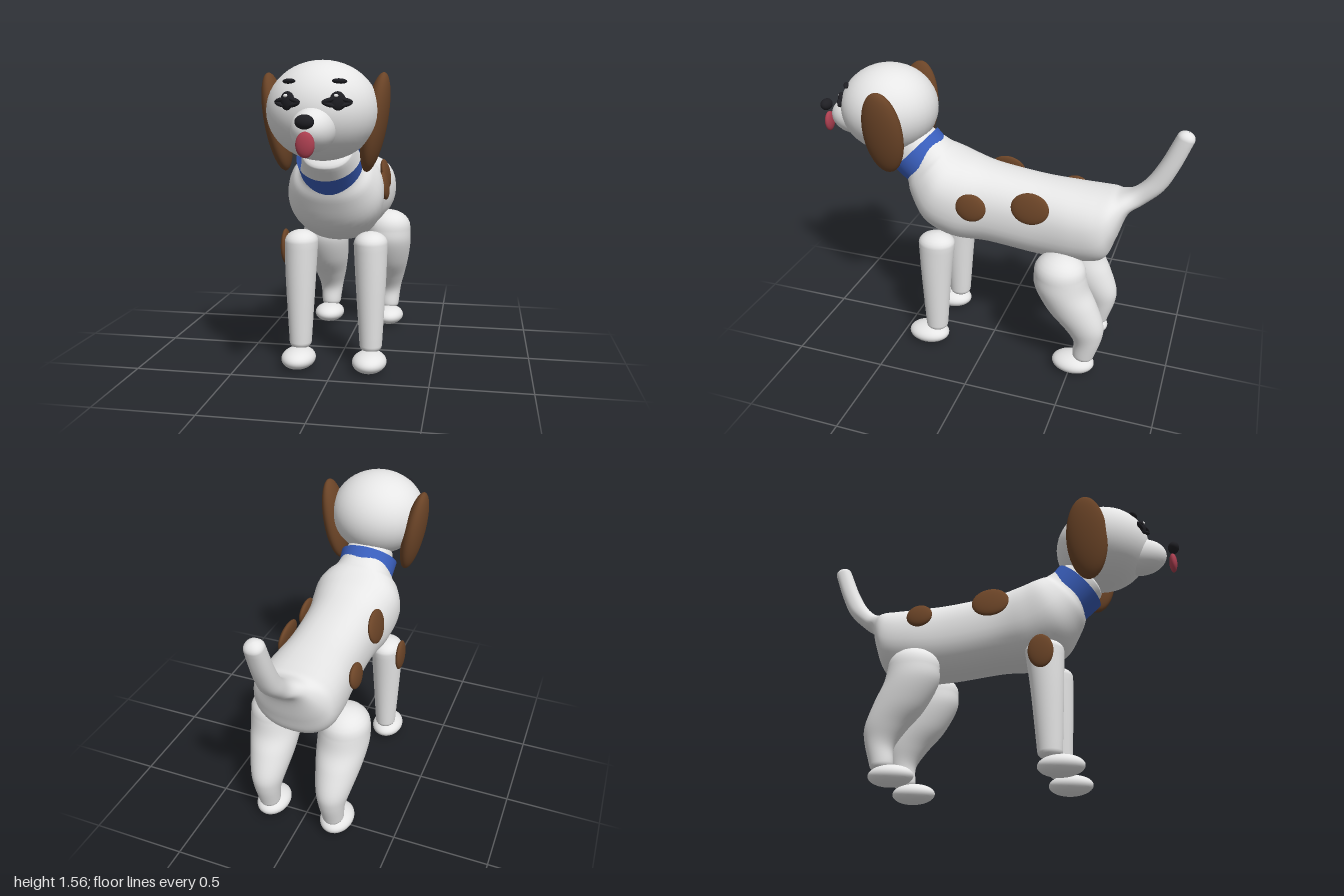
import * as THREE from 'three';

const mat = (name, color, side = THREE.FrontSide) => {
  const m = new THREE.MeshStandardMaterial({ color, side });
  m.name = name;
  return m;
};

// Smooth skin through sections [frontZ, frontY, backZ, backY, halfWidth, centreX]
// with a rounded cap of the given height at each end; power squares the section.
function loft(sections, cap0, cap1, power = 2, steps = 6, sides = 36) {
  const curve = (f) => new THREE.CatmullRomCurve3(sections.map(f), false, 'catmullrom', 0.5);
  const front = curve((s) => new THREE.Vector3(s[4], s[1], s[0]));
  const back = curve((s) => new THREE.Vector3(s[5] || 0, s[3], s[2]));
  const pos = [], index = [];
  let rings = 0;
  const ring = (t, scale, push) => {
    const a = front.getPoint(t), b = back.getPoint(t);
    const uy = (a.y - b.y) / 2, uz = (a.z - b.z) / 2, len = Math.hypot(uy, uz);
    const cy = (a.y + b.y) / 2 - (uz / len) * push;
    const cz = (a.z + b.z) / 2 + (uy / len) * push;
    for (let j = 0; j < sides; j++) {
      const ang = (j / sides) * Math.PI * 2;
      const round = (v) => Math.sign(v) * Math.pow(Math.abs(v), 2 / power) * scale;
      const s = round(Math.sin(ang)), c = round(Math.cos(ang));
      pos.push(b.x + a.x * s, cy + uy * c, cz + uz * c);
    }
    rings++;
  };
  const capSteps = 7, n = (sections.length - 1) * steps;
  for (let k = capSteps; k > 0; k--) {
    const q = (k / capSteps) * Math.PI / 2;
    ring(0, Math.max(Math.cos(q), 0.01), -cap0 * Math.sin(q));
  }
  for (let i = 0; i <= n; i++) ring(i / n, 1, 0);
  for (let k = 1; k <= capSteps; k++) {
    const q = (k / capSteps) * Math.PI / 2;
    ring(1, Math.max(Math.cos(q), 0.01), cap1 * Math.sin(q));
  }
  for (let i = 0; i < rings - 1; i++) for (let j = 0; j < sides; j++) {
    const p = i * sides + j, q = i * sides + (j + 1) % sides;
    index.push(p, p + sides, q, q, p + sides, q + sides);
  }
  const g = new THREE.BufferGeometry();
  g.setAttribute('position', new THREE.Float32BufferAttribute(pos, 3));
  g.setIndex(index);
  g.computeVertexNormals();
  return g;
}

export function createModel() {
  const model = new THREE.Group();
  model.name = 'dog';
  const white = mat('white coat', 0xe6e6e6);
  const brown = mat('brown patches', 0x6b4427);
  const blue = mat('blue collar', 0x3a5fbd, THREE.DoubleSide);
  const black = mat('black features', 0x1f1f24);
  const pink = mat('red tongue', 0xab3f50);

  const add = (name, geometry, material) => {
    const m = new THREE.Mesh(geometry, material);
    m.name = name;
    model.add(m);
    return m;
  };
  const ball = (name, material, [x, y, z], [rx, ry, rz], [ax, ay, az] = [0, 0, 0]) => {
    const m = add(name, new THREE.SphereGeometry(1, 36, 24), material);
    m.position.set(x, y, z);
    m.scale.set(rx, ry, rz);
    m.rotation.set(ax, ay, az);
    return m;
  };

  // Tail, trunk and neck in one skin, from tail tip to head
  add('body', loft([
    [-0.91, 1.375, -0.995, 1.35, 0.045],
    [-0.85, 1.23, -0.94, 1.2, 0.05],
    [-0.79, 1.125, -0.88, 1.08, 0.054],
    [-0.73, 1.065, -0.79, 0.99, 0.064],
    [-0.67, 1.037, -0.72, 0.93, 0.11],
    [-0.62, 1.035, -0.67, 0.78, 0.185],
    [-0.55, 1.035, -0.62, 0.67, 0.215],
    [-0.44, 1.038, -0.48, 0.635, 0.215],
    [-0.25, 1.05, -0.27, 0.63, 0.198],
    [0, 1.08, 0, 0.655, 0.203],
    [0.13, 1.11, 0.2, 0.66, 0.232],
    [0.2, 1.13, 0.36, 0.74, 0.242],
    [0.24, 1.148, 0.45, 0.88, 0.2],
    [0.27, 1.17, 0.485, 0.965, 0.152],
    [0.38, 1.24, 0.56, 1.06, 0.125],
  ], 0.035, 0.03, 2.25), white);

  const collar = add('collar', new THREE.CylinderGeometry(0.158, 0.152, 0.115, 40, 1, true), blue);
  collar.position.set(0, 1.078, 0.405);
  collar.rotation.x = 0.8;

  // Head and face
  ball('head', white, [0, 1.335, 0.585], [0.26, 0.229, 0.256]);
  ball('muzzle', white, [0, 1.26, 0.79], [0.1, 0.1, 0.14]);
  ball('nose', black, [0, 1.3, 0.97], [0.041, 0.031, 0.03]);
  ball('tongue', pink, [0, 1.205, 0.96], [0.041, 0.055, 0.021]);

  for (const s of [1, -1]) {
    const side = s > 0 ? 'left' : 'right';
    ball(side + 'Ear', brown, [s * 0.233, 1.28, 0.52], [0.056, 0.233, 0.11], [0, 0, -s * 0.18]);

    // Eye with lashes, glint and brow
    ball(side + 'Eye', black, [s * 0.11, 1.382, 0.808], [0.036, 0.042, 0.02], [0, s * 0.4, 0]);
    for (const [dx, dy, tilt] of [[-0.036, 0.004, 0.25], [-0.036, -0.014, -0.3], [0.036, 0.004, -0.25], [0.036, -0.014, 0.3]])
      ball(side + 'Lash', black, [s * (0.11 + dx), 1.382 + dy, 0.818 - dx * 0.45],
        [0.03, 0.01, 0.012], [0, s * 0.42, s * tilt]);
    ball(side + 'Glint', white, [s * 0.11 - 0.005, 1.405, 0.821], [0.011, 0.008, 0.009]);
    ball(side + 'Brow', black, [s * 0.112, 1.467, 0.772], [0.034, 0.011, 0.014], [-0.5, s * 0.4, s * 0.16]);

    // Tapered front leg
    add(side + 'FrontLeg', loft([
      [0.37, 0.66, 0.17, 0.66, 0.086, s * 0.18],
      [0.362, 0.45, 0.195, 0.45, 0.077, s * 0.183],
      [0.346, 0.13, 0.222, 0.13, 0.058, s * 0.185],
    ], 0.06, 0.04), white);

    // Hind leg with thigh and hock
    add(side + 'HindLeg', loft([
      [-0.285, 0.635, -0.555, 0.62, 0.13, s * 0.19],
      [-0.29, 0.54, -0.575, 0.53, 0.133, s * 0.188],
      [-0.36, 0.405, -0.62, 0.44, 0.118, s * 0.185],
      [-0.45, 0.3, -0.665, 0.32, 0.092, s * 0.183],
      [-0.51, 0.21, -0.662, 0.235, 0.07, s * 0.182],
      [-0.51, 0.125, -0.628, 0.115, 0.057, s * 0.183],
    ], 0.1, 0.04), white);

    ball(side + 'FrontPaw', white, [s * 0.185, 0.057, 0.335], [0.088, 0.053, 0.116]);
    ball(side + 'HindPaw', white, [s * 0.185, 0.057, -0.515], [0.088, 0.053, 0.116]);
  }

  // Coat patches lying on the flanks and one foreleg
  const patches = [
    [[0.222, 0.928, 0.057], [0.024, 0.073, 0.082], 0.15],
    [[0.192, 0.96, -0.25], [0.024, 0.082, 0.1], 0.2],
    [[-0.205, 0.965, -0.01], [0.024, 0.088, 0.1], -0.2],
    [[-0.235, 0.91, -0.39], [0.024, 0.065, 0.07], -0.12],
    [[-0.265, 0.63, 0.262], [0.022, 0.09, 0.065], 0],
  ];
  for (const [p, r, tilt] of patches) ball('coatPatch', brown, p, r, [0, 0, tilt]);

  return model;
}
